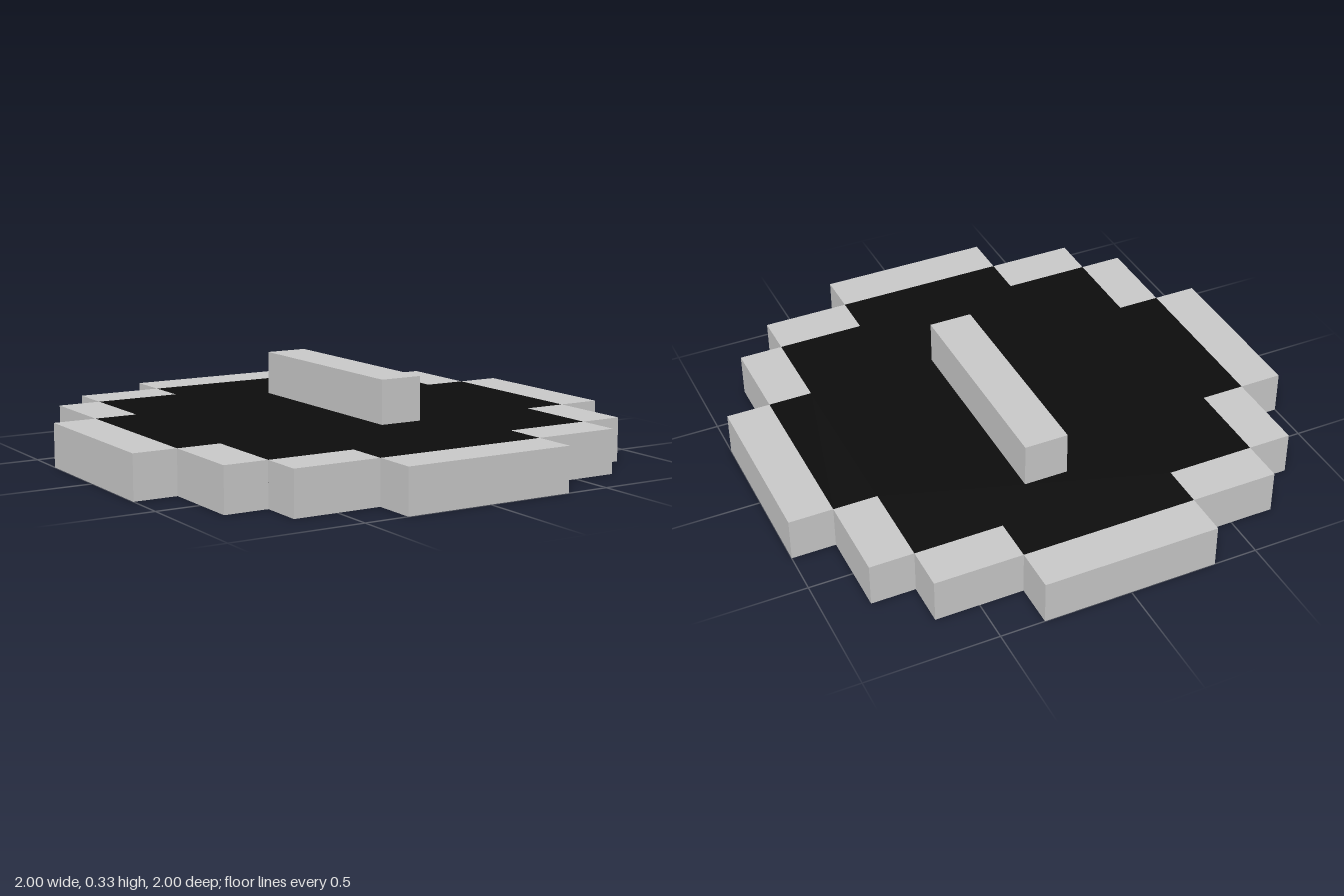
import * as THREE from 'three';

const U = 1 / 6; // one block of the stepped grid

export function createModel() {
  const model = new THREE.Group();
  const stone = new THREE.MeshStandardMaterial({ color: 0xc9c9c9 });
  stone.name = 'light grey';
  const black = new THREE.MeshStandardMaterial({ color: 0x0d0d0d });
  black.name = 'black';

  // Box given by its extents in grid units
  function block(name, x0, x1, y0, y1, z0, z1) {
    const mesh = new THREE.Mesh(
      new THREE.BoxGeometry((x1 - x0) * U, (y1 - y0) * U, (z1 - z0) * U), stone);
    mesh.position.set((x0 + x1) * U / 2, (y0 + y1) * U / 2, (z0 + z1) * U / 2);
    mesh.name = name;
    return mesh;
  }

  // Stepped black disc, flush with the rim
  const quarter = [[5, 2], [4, 2], [4, 4], [2, 4], [2, 5]];
  const mirrored = quarter.map(([x, y]) => [-x, y]).reverse();
  const half = [...quarter, ...mirrored];
  const outline = [...half, ...half.map(([x, y]) => [-x, -y])];
  const shape = new THREE.Shape(outline.map(([x, y]) => new THREE.Vector2(x * U, y * U)));
  const discGeometry = new THREE.ExtrudeGeometry(shape, { depth: U, bevelEnabled: false });
  discGeometry.rotateX(-Math.PI / 2);
  const disc = new THREE.Mesh(discGeometry, black);
  disc.name = 'disc';
  model.add(disc);

  // Rim: one quarter of blocks repeated around the disc
  const rim = new THREE.Group();
  rim.name = 'rim';
  for (let i = 0; i < 4; i++) {
    const side = new THREE.Group();
    side.name = 'rimQuarter';
    side.add(
      block('rimSide', -2, 2, 0, 1, 5, 6),
      block('rimStep', 2, 4, 0, 1, 4, 5),
      block('rimStep', 4, 5, 0, 1, 2, 4));
    side.rotation.y = i * Math.PI / 2;
    rim.add(side);
  }
  model.add(rim);

  // Raised bar on top, just off centre
  model.add(block('bar', 0, 1, 1, 2, -3, 2));
  return model;
}
